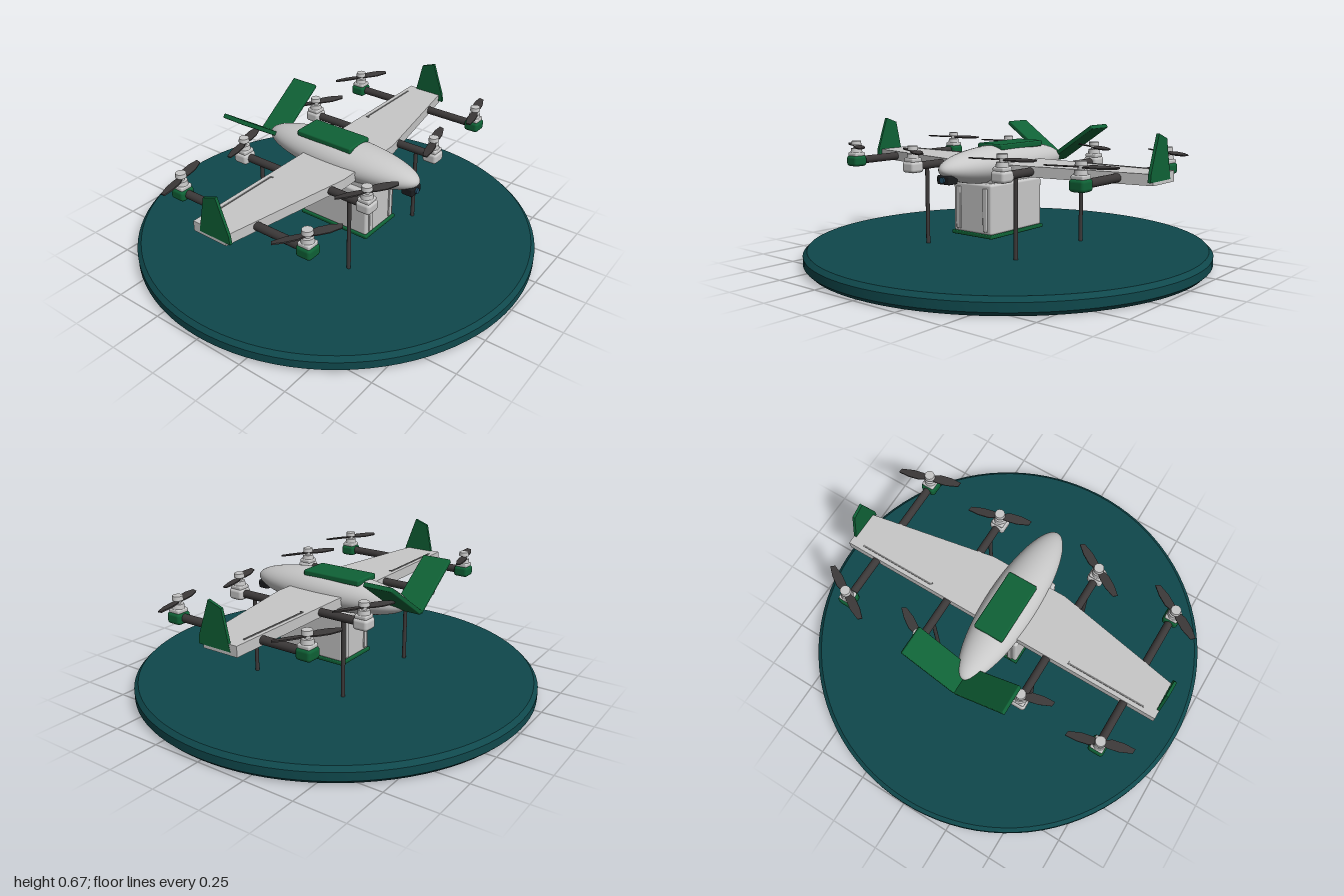
import * as THREE from 'three';
import { toCreasedNormals } from 'three/addons/utils/BufferGeometryUtils.js';
import { RoundedBoxGeometry } from 'three/addons/geometries/RoundedBoxGeometry.js';

const material = (name, color) => {
  const m = new THREE.MeshStandardMaterial({ color });
  m.name = name;
  return m;
};

export function createModel() {
  const model = new THREE.Group();
  model.name = 'cargoDrone';

  const shell = material('shell grey', 0xc8c8c8);
  const green = material('green', 0x0f6236);
  const dark = material('carbon', 0x3c3939);
  const teal = material('pad teal', 0x0f484c);
  const black = material('camera black', 0x1b1d20);
  const lensBlue = material('lens blue', 0x24506a);
  const slotGrey = material('slot grey', 0x7c7c7c);

  const add = (name, geometry, mat, x = 0, y = 0, z = 0, parent = model) => {
    const mesh = new THREE.Mesh(geometry, mat);
    mesh.name = name;
    mesh.position.set(x, y, z);
    parent.add(mesh);
    return mesh;
  };
  const box = (w, h, d) => new THREE.BoxGeometry(w, h, d);
  const rounded = (w, h, d, r) => new RoundedBoxGeometry(w, h, d, 2, r);
  const cylinder = (r1, r2, h, n = 20) => new THREE.CylinderGeometry(r1, r2, h, n);
  const shapeOf = (points) => new THREE.Shape(points.map(([a, b]) => new THREE.Vector2(a, b)));

  // Flat outline given in x and z, extruded downward from y = 0
  const slab = (points, thickness) =>
    new THREE.ExtrudeGeometry(shapeOf(points), { depth: thickness, bevelEnabled: false }).rotateX(Math.PI / 2);

  // Landing pad with bevelled rims
  const padProfile = [[0, 0], [0.98, 0], [1, 0.02], [1, 0.06], [0.98, 0.08], [0, 0.08]]
    .map(([r, y]) => new THREE.Vector2(r, y));
  add('landingPad', toCreasedNormals(new THREE.LatheGeometry(padProfile, 96), 0.5), teal);

  // Fuselage
  add('fuselage', new THREE.SphereGeometry(1, 48, 32).rotateX(Math.PI / 2).scale(0.125, 0.094, 0.44), shell, 0, 0.48, 0.035);
  add('topHatch', rounded(0.154, 0.03, 0.32, 0.008), green, 0, 0.564, -0.02);

  // Nose camera
  add('cameraHousing', rounded(0.078, 0.042, 0.06, 0.008), black, 0, 0.437, 0.435);
  add('cameraLens', cylinder(0.014, 0.014, 0.012).rotateX(Math.PI / 2), lensBlue, 0, 0.437, 0.467);

  // Wing with straight trailing edge and tapered leading edge
  add('wing', slab([[-0.85, -0.11], [0.85, -0.11], [0.85, 0.075], [0.2, 0.197], [-0.2, 0.197], [-0.85, 0.075]], 0.05),
    shell, 0, 0.495, 0);

  // Winglet outline in z and y
  const winglet = new THREE.ExtrudeGeometry(
    shapeOf([[-0.1, 0.46], [0.075, 0.46], [0.067, 0.495], [0.035, 0.64], [-0.035, 0.665], [-0.095, 0.5]]),
    { depth: 0.014, bevelEnabled: false }).translate(0, 0, -0.007).rotateY(Math.PI / 2);

  for (const s of [-1, 1]) {
    add('winglet', winglet, green, s * 0.844, 0, 0);
    // Aileron gaps
    add('aileronSlot', box(0.4, 0.004, 0.008), slotGrey, s * 0.58, 0.496, -0.086);
    add('aileronSlotEnd', box(0.006, 0.004, 0.014), slotGrey, s * 0.382, 0.496, -0.08);
    // V tail
    const tail = add('tailPanel', rounded(0.326, 0.022, 0.146, 0.005), green, s * 0.135, 0.553, -0.407);
    tail.rotation.z = s * 0.6;
  }

  // Cargo box with corner ribs and base plate
  add('cargoBox', rounded(0.236, 0.24, 0.385, 0.012), shell, 0, 0.283, 0.075);
  add('cargoNeck', box(0.18, 0.04, 0.3), shell, 0, 0.41, 0.075);
  add('cargoBase', rounded(0.25, 0.018, 0.4, 0.005), green, 0, 0.157, 0.075);
  for (const s of [-1, 1]) {
    for (const e of [-1, 1]) {
      add('cargoEndRib', rounded(0.026, 0.205, 0.012, 0.004), shell, s * 0.083, 0.28, 0.075 + e * 0.194);
    }
  }

  // Landing legs
  for (const x of [-0.278, 0.278]) {
    for (const z of [0.285, -0.235]) {
      add('landingLeg', cylinder(0.01, 0.01, 0.39, 14), dark, x, 0.27, z);
    }
  }

  // Propeller blade, pitched slightly about its length
  const bladeGeometry = slab([[0.008, -0.012], [0.05, -0.026], [0.105, -0.024], [0.158, -0.012],
    [0.15, 0.01], [0.09, 0.02], [0.04, 0.018], [0.008, 0.012]], 0.006).translate(0, 0.003, 0).rotateX(0.15);

  // One motor pod with its rotor
  const addRotor = (x, z, podMaterial, angle) => {
    const rotor = new THREE.Group();
    rotor.name = 'rotorUnit';
    rotor.position.set(x, 0, z);
    model.add(rotor);
    add('motorPod', rounded(0.078, 0.055, 0.078, 0.016), podMaterial, 0, 0.469, 0, rotor);
    add('motorCollar', rounded(0.064, 0.022, 0.064, 0.008), shell, 0, 0.502, 0, rotor);
    add('motor', cylinder(0.027, 0.03, 0.022), shell, 0, 0.522, 0, rotor);
    add('motorShaft', cylinder(0.014, 0.014, 0.03, 14), shell, 0, 0.542, 0, rotor);
    add('rotorCap', cylinder(0.024, 0.026, 0.02), shell, 0, 0.56, 0, rotor);
    const propeller = new THREE.Group();
    propeller.name = 'propeller';
    propeller.position.y = 0.544;
    propeller.rotation.y = angle;
    rotor.add(propeller);
    for (const turn of [0, Math.PI]) {
      add('propellerBlade', bladeGeometry, dark, 0, 0, 0, propeller).rotation.y = turn;
    }
  };

  // Booms, each carrying a front and a rear rotor
  for (const x of [-0.69, -0.278, 0.278, 0.69]) {
    add('rotorBoom', cylinder(0.02, 0.02, 0.725, 18).rotateX(Math.PI / 2), dark, x, 0.47, 0.018);
    const pod = Math.abs(x) > 0.5 ? green : shell;
    addRotor(x, 0.38, pod, x > 0 ? 0.27 : -0.53);
    addRotor(x, -0.345, pod, x > 0 ? -0.53 : 0.27);
  }

  return model;
}
